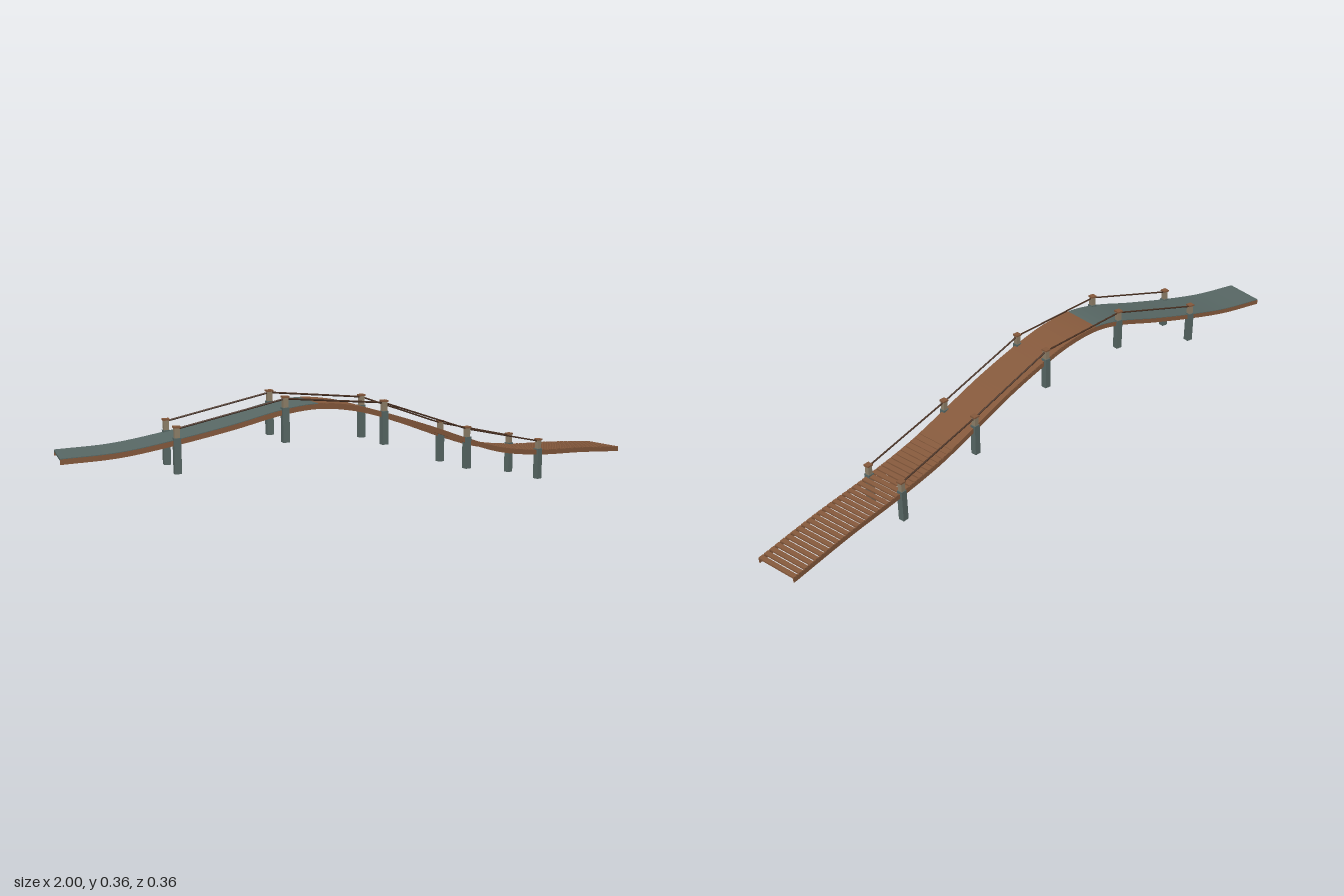
import * as THREE from 'three';

const mat = (name, color) => new THREE.MeshStandardMaterial({ name, color });

export function createModel() {
  const plankWood = mat('plank brown', 0x85593c);
  const stone = mat('slate grey', 0x586865);
  const paleWood = mat('weathered wood', 0x8f8069);
  const ropeBrown = mat('dark rope', 0x4a3122);
  const model = new THREE.Group();
  model.name = 'boardwalk';

  // Centre line of the walking surface
  const path = new THREE.CatmullRomCurve3([
    [-0.983, 0.222, -0.113], [-0.83, 0.229, -0.073], [-0.675, 0.253, -0.035],
    [-0.52, 0.284, 0.003], [-0.368, 0.319, 0.038], [-0.27, 0.328, 0.056],
    [-0.16, 0.314, 0.071], [-0.055, 0.284, 0.083], [0.1, 0.231, 0.095],
    [0.255, 0.173, 0.1], [0.4, 0.126, 0.1], [0.57, 0.097, 0.094],
    [0.78, 0.078, 0.081], [0.993, 0.054, 0.064],
  ].map((p) => new THREE.Vector3(...p)));

  // Position and sideways direction at a given x
  function frame(x) {
    let a = 0, b = 1;
    for (let i = 0; i < 30; i++) {
      const m = (a + b) / 2;
      if (path.getPoint(m).x < x) a = m; else b = m;
    }
    const pos = path.getPoint(a);
    const t = path.getTangent(a);
    const side = new THREE.Vector3(-t.z, 0, t.x).normalize();
    return { pos, side, yaw: Math.atan2(-t.z, t.x) };
  }

  // Rectangular section swept along the path; u is sideways, v is up
  function sweep(x0, x1, u0, u1, v0, v1, n) {
    const rings = [];
    for (let i = 0; i <= n; i++) {
      const { pos, side } = frame(x0 + ((x1 - x0) * i) / n);
      rings.push([[u0, v0], [u1, v0], [u1, v1], [u0, v1]].map(([u, v]) => {
        const p = pos.clone().addScaledVector(side, u);
        p.y += v;
        return p;
      }));
    }
    const out = [];
    const quad = (a, b, c, d) => [a, b, c, a, c, d].forEach((p) => out.push(p));
    for (let i = 0; i < n; i++) {
      for (let k = 0; k < 4; k++) {
        const j = (k + 1) % 4;
        quad(rings[i][k], rings[i + 1][k], rings[i + 1][j], rings[i][j]);
      }
    }
    const s = rings[0], e = rings[n];
    quad(s[0], s[1], s[2], s[3]);
    quad(e[3], e[2], e[1], e[0]);
    const geo = new THREE.BufferGeometry().setFromPoints(out);
    geo.computeVertexNormals();
    return geo;
  }

  function add(name, geo, material, parent = model) {
    const mesh = new THREE.Mesh(geo, material);
    mesh.name = name;
    parent.add(mesh);
    return mesh;
  }

  const half = 0.07, crest = -0.27, slatStart = 0.36, end = 0.993;

  // Grey ramp, and the grey underside below the closed decking
  add('ramp', sweep(-0.983, crest, -half, half, -0.005, 0.001, 50), stone);
  add('deckUnderside', sweep(crest, slatStart, -half + 0.002, half - 0.002, -0.007, -0.004, 50), stone);

  // Closed decking
  add('closedDeck', sweep(crest, slatStart, -half, half, -0.004, 0.001, 50), plankWood);

  // Open slats with gaps that widen towards the low end
  const slats = new THREE.Group();
  slats.name = 'openSlats';
  model.add(slats);
  const count = 32, pitch = (end - slatStart) / count;
  for (let i = 0; i < count; i++) {
    const gap = 0.0015 + 0.0045 * Math.min(1, i / 14);
    const x = slatStart + i * pitch;
    add('slat', sweep(x + gap, x + pitch, -half, half, -0.004, 0.001, 1), plankWood, slats);
  }

  // Side beams, posts and ropes, mirrored about the path
  const stations = [-0.675, -0.368, -0.055, 0.255, 0.57];
  for (const s of [-1, 1]) {
    const u = s * 0.0685;
    add('sideBeam', sweep(-0.983, end, u - 0.002, u + 0.002, -0.016, -0.001, 100), plankWood);
    const tops = [];
    for (const x of stations) {
      const { pos, side, yaw } = frame(x);
      const post = new THREE.Group();
      post.name = 'post';
      post.position.copy(pos).addScaledVector(side, s * 0.068);
      post.rotation.y = yaw;
      model.add(post);
      add('pile', new THREE.BoxGeometry(0.02, 0.102, 0.02), stone, post).position.y = -0.046;
      add('upperPost', new THREE.BoxGeometry(0.015, 0.028, 0.015), paleWood, post).position.y = 0.019;
      add('postCap', new THREE.BoxGeometry(0.02, 0.005, 0.02), plankWood, post).position.y = 0.0355;
      tops.push(post.position.clone().add(new THREE.Vector3(0, 0.03, 0)));
    }
    for (let i = 0; i < tops.length - 1; i++) {
      const line = new THREE.LineCurve3(tops[i], tops[i + 1]);
      add('rope', new THREE.TubeGeometry(line, 1, 0.0028, 6), ropeBrown);
    }
  }
  return model;
}
